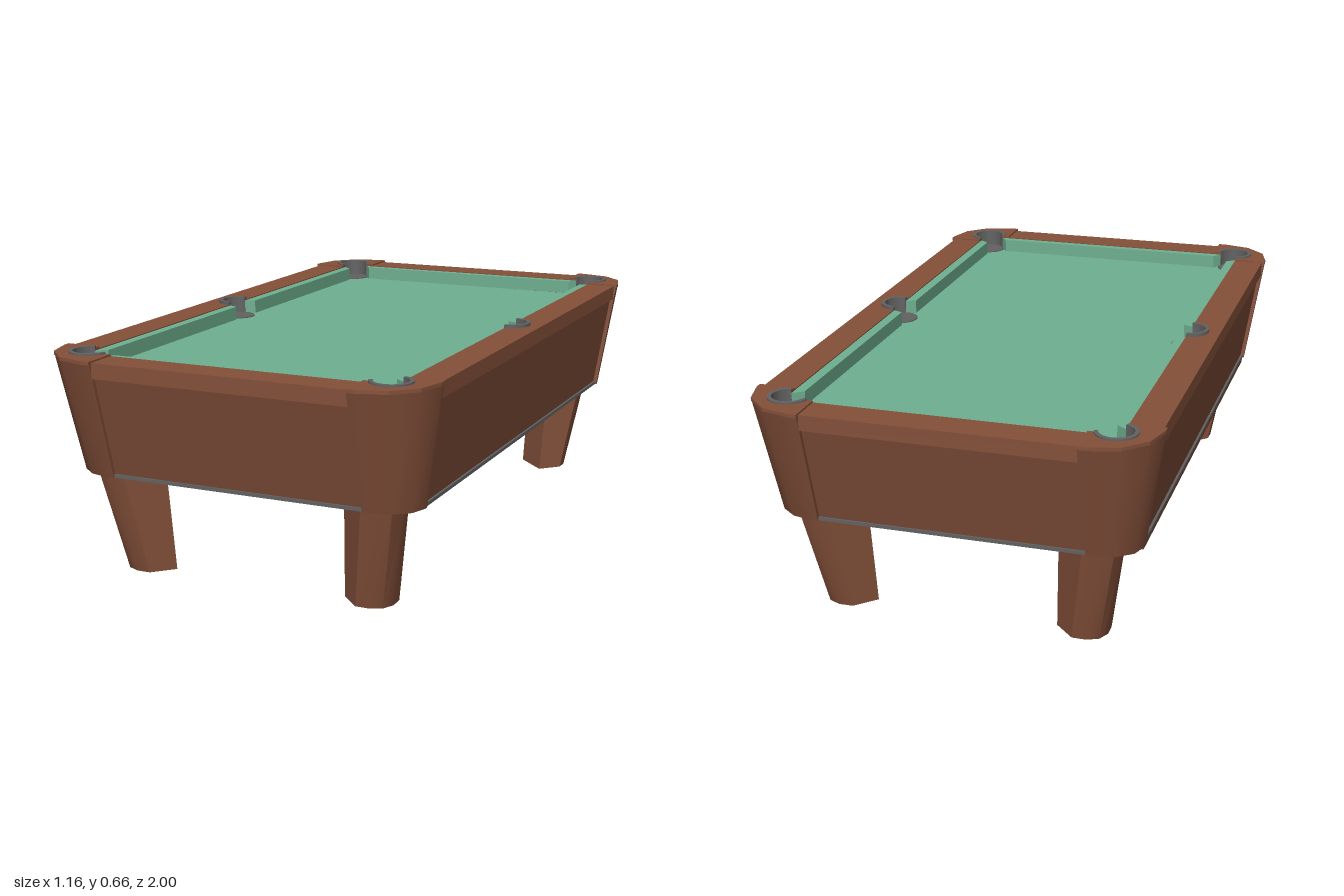
import * as THREE from 'three';
import { toCreasedNormals } from 'three/addons/utils/BufferGeometryUtils.js';

const BED = 0.605, RAIL = 0.65, CAP = 0.655, BASE = 0.3;
const mat = (color) => new THREE.MeshStandardMaterial({ color, roughness: 0.8, side: THREE.DoubleSide });

// Plan outline (x, z) extruded between two heights
function slab(shape, y0, y1) {
  const g = new THREE.ExtrudeGeometry(shape, { depth: y1 - y0, bevelEnabled: false, curveSegments: 16 });
  return g.rotateX(Math.PI / 2).translate(0, y1, 0);
}

const polygon = (pts) => new THREE.Shape(pts.map(([x, y]) => new THREE.Vector2(x, y)));

// Wall between a lower and an upper ring of [x, y, z] points
function loft(low, high, closed) {
  const n = low.length, index = [];
  for (let i = 0; i < (closed ? n : n - 1); i++) {
    const j = (i + 1) % n;
    index.push(i, n + i, j, n + i, n + j, j);
  }
  if (closed) {
    for (let i = 1; i < n - 1; i++) index.push(0, i, i + 1, n, n + i + 1, n + i);
  }
  const g = new THREE.BufferGeometry();
  g.setAttribute('position', new THREE.Float32BufferAttribute([...low, ...high].flat(), 3));
  g.setIndex(index);
  return toCreasedNormals(g, 0.7);
}

// Reflected copy with the winding kept outward
function mirror(geometry, sx, sz) {
  const g = geometry.index ? geometry.toNonIndexed() : geometry.clone();
  g.scale(sx, 1, sz);
  if (sx * sz < 0) {
    const index = [];
    for (let i = 0; i < g.attributes.position.count; i += 3) index.push(i, i + 2, i + 1);
    g.setIndex(index);
  }
  return g;
}

export function createModel() {
  const table = new THREE.Group();
  table.name = 'poolTable';
  const wood = mat(0x84503a), cloth = mat(0x6fb090), dark = mat(0x626262);

  const add = (name, geometry, material) => {
    const mesh = new THREE.Mesh(geometry, material);
    mesh.name = name;
    table.add(mesh);
    return mesh;
  };
  const quarters = (name, geometry, material) => {
    for (const sx of [1, -1]) for (const sz of [1, -1]) add(name, mirror(geometry, sx, sz), material);
  };

  // Rounded outline of one corner, from the long side round to the short side
  const outline = [[0.58, 0.81]];
  for (let i = 0; i <= 3; i++) {
    const a = (i * Math.PI) / 6;
    outline.push([0.41 + 0.17 * Math.cos(a), 0.83 + 0.17 * Math.sin(a)]);
  }
  outline.push([0.385, 1]);
  const taper = ([x, z]) => [0.385 + (x - 0.385) * 0.72, 0.79 + (z - 0.81) * 0.58];

  // Corner casings: tapered wall with short returns at both ends
  const ring = [[0.54, 0.81], ...outline, [0.385, 0.95]];
  const cornerWall = loft(
    ring.map((p) => { const [x, z] = taper(p); return [x, BASE, z]; }),
    ring.map(([x, z]) => [x, CAP, z]), false);
  quarters('cornerCasing', cornerWall, wood);

  // Corner tops with a round notch for the pocket
  const top = polygon(outline);
  top.lineTo(0.385, 0.89);
  top.lineTo(0.411, 0.89);
  top.absarc(0.46, 0.88, 0.05, 2.94, -1.27, true);
  top.lineTo(0.475, 0.81);
  quarters('cornerTop', slab(top, CAP - 0.01, CAP), wood);

  // Rails on top of the panels
  const longRail = polygon([[0.475, -0.81], [0.57, -0.81], [0.57, 0.81], [0.475, 0.81], [0.475, 0.05]]);
  longRail.absarc(0.475, 0, 0.05, Math.PI / 2, -Math.PI / 2, true);
  const longRailGeo = slab(longRail, BED, RAIL);
  const endRail = polygon([[-0.385, 0.89], [0.385, 0.89], [0.385, 0.988], [-0.385, 0.988]]);
  const endRailGeo = slab(endRail, BED, RAIL);

  // Sloping apron panels, slightly recessed below the rails
  const panel = (inner, low, high, length) => new THREE.ExtrudeGeometry(
    polygon([[inner, BASE], [low, BASE], [high, BED], [inner, BED]]),
    { depth: length, bevelEnabled: false }).translate(0, 0, -length / 2);
  const longPanel = panel(0.46, 0.513, 0.56, 1.61);
  const endPanel = panel(0.86, 0.888, 0.974, 0.77).rotateY(-Math.PI / 2);
  for (const s of [1, -1]) {
    add('longRail', mirror(longRailGeo, s, 1), wood);
    add('endRail', mirror(endRailGeo, 1, s), wood);
    add('longPanel', mirror(longPanel, s, 1), wood);
    add('endPanel', mirror(endPanel, 1, s), wood);
  }

  // Ledge below one long side
  const ledge = add('lowerLedge', new THREE.BoxGeometry(0.055, 0.02, 1.58), wood);
  ledge.position.set(-0.493, 0.2975, 0);
  ledge.rotation.z = 0.12;

  // Underside plate following the tapered outline
  const low = outline.map(taper).map(([x, z]) => [x - 0.004, z - 0.004]);
  const back = [...low].reverse();
  const plate = polygon([
    ...low, ...back.map(([x, z]) => [-x, z]),
    ...low.map(([x, z]) => [-x, -z]), ...back.map(([x, z]) => [x, -z]),
  ]);
  add('underside', slab(plate, BASE, BASE + 0.01), dark);

  // Playing bed and cushions
  const bed = add('bed', new THREE.BoxGeometry(0.95, 0.05, 1.78), cloth);
  bed.position.y = BED - 0.025;
  const sideCushion = polygon([[0.476, 0.05], [0.445, 0.065], [0.445, 0.81], [0.476, 0.835]]);
  quarters('sideCushion', slab(sideCushion, BED, RAIL - 0.003), cloth);
  const endCushion = polygon([[-0.41, 0.891], [-0.39, 0.863], [0.39, 0.863], [0.41, 0.891]]);
  const endCushionGeo = slab(endCushion, BED, RAIL - 0.003);
  for (const s of [1, -1]) add('endCushion', mirror(endCushionGeo, 1, s), cloth);

  // Pockets: liner open toward the bed, with a dark floor
  const pocket = (x, z, from, to) => {
    const liner = new THREE.Shape();
    liner.absarc(x, z, 0.06, from, to, false);
    liner.absarc(x, z, 0.048, to, from, true);
    return {
      liner: toCreasedNormals(slab(liner, BED - 0.01, 0.66), 0.6),
      floor: new THREE.CylinderGeometry(0.055, 0.055, 0.02, 24).translate(x, BED - 0.007, z),
    };
  };
  const corner = pocket(0.46, 0.88, -1.27, 2.94);
  quarters('cornerPocketLiner', corner.liner, dark);
  quarters('cornerPocketFloor', corner.floor, dark);
  const middle = pocket(0.475, 0, -Math.PI / 2, Math.PI / 2);
  for (const s of [1, -1]) {
    add('middlePocketLiner', mirror(middle.liner, s, 1), dark);
    add('middlePocketFloor', mirror(middle.floor, s, 1), dark);
  }

  // Legs: slabs set on the diagonal, rounded outside, flat inside, tapering down
  const legRing = (cx, cz, y, w, u1, u2) => {
    const um = u1 + (u2 - u1) * 0.7;
    const pts = [[0, -w], [u1, -w], [um, -w * 0.55], [u2, 0], [um, w * 0.55], [u1, w], [0, w]];
    return pts.map(([u, v]) => [cx + (u - v) * Math.SQRT1_2, y, cz + (u + v) * Math.SQRT1_2]);
  };
  const leg = loft(
    legRing(0.316, 0.716, 0, 0.065, 0.082, 0.125),
    legRing(0.33, 0.738, BASE + 0.005, 0.07, 0.126, 0.18), true);
  quarters('leg', leg, wood);

  return table;
}
